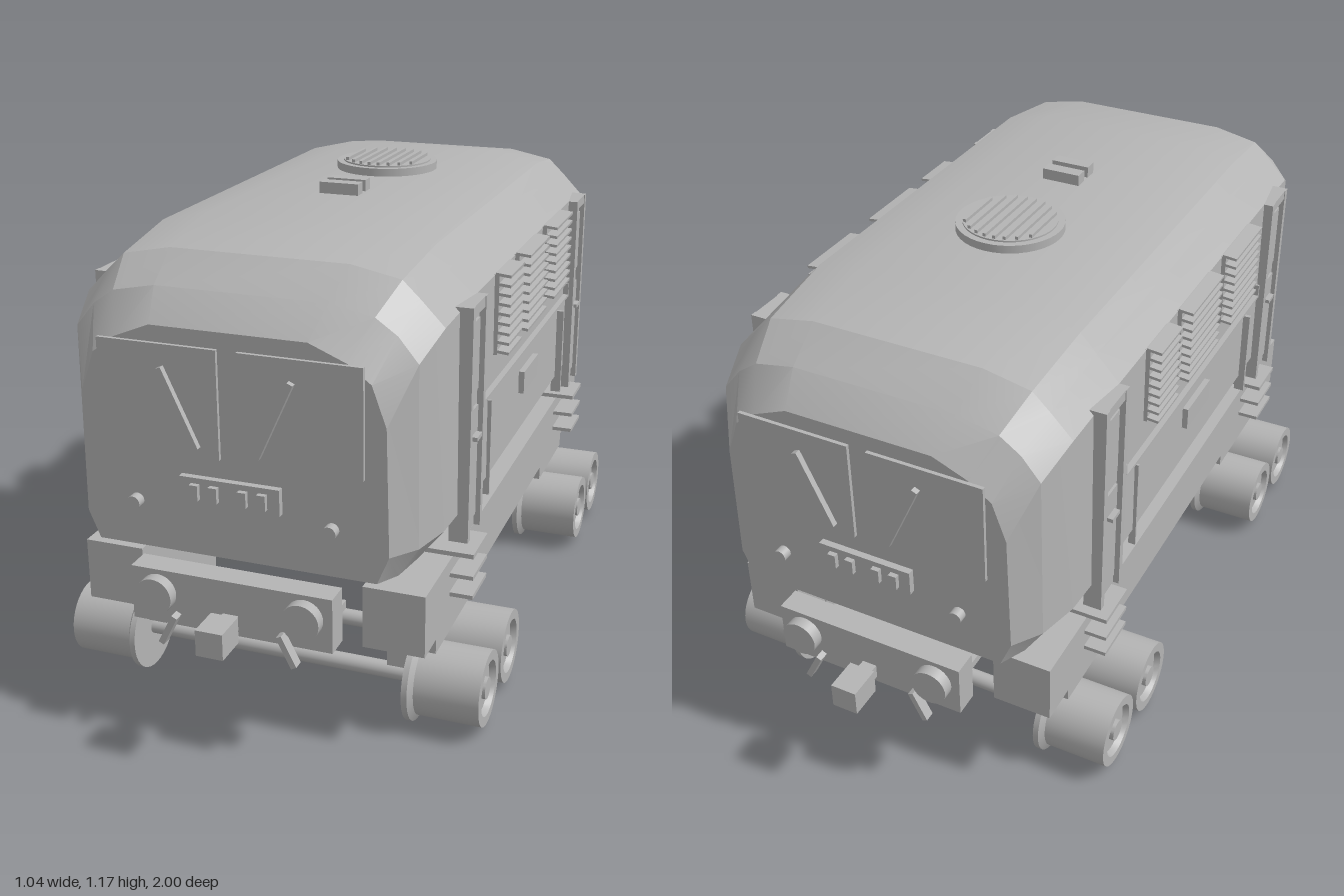
import * as THREE from 'three';
import { toCreasedNormals } from 'three/addons/utils/BufferGeometryUtils.js';

const grey = new THREE.MeshStandardMaterial({ color: 0xb4b4b4 });
grey.name = 'plain grey';

function add(parent, name, geometry) {
  const mesh = new THREE.Mesh(geometry, grey);
  mesh.name = name;
  parent.add(mesh);
  return mesh;
}

// Box given by its limits on each axis
function box(parent, name, x0, x1, y0, y1, z0, z1) {
  const mesh = add(parent, name, new THREE.BoxGeometry(x1 - x0, y1 - y0, z1 - z0));
  mesh.position.set((x0 + x1) / 2, (y0 + y1) / 2, (z0 + z1) / 2);
  return mesh;
}

// Cylinder of given radius and length along one axis
function rod(parent, name, axis, r, length, x, y, z, sides = 24) {
  const g = new THREE.CylinderGeometry(r, r, length, sides);
  if (axis === 'x') g.rotateZ(Math.PI / 2);
  if (axis === 'z') g.rotateX(Math.PI / 2);
  const mesh = add(parent, name, g);
  mesh.position.set(x, y, z);
  return mesh;
}

// Flat bar between two points in the xy plane
function bar(parent, name, x0, y0, x1, y1, z, width, depth) {
  const g = new THREE.BoxGeometry(width, Math.hypot(x1 - x0, y1 - y0), depth);
  const mesh = add(parent, name, g);
  mesh.position.set((x0 + x1) / 2, (y0 + y1) / 2, z);
  mesh.rotation.z = -Math.atan2(x1 - x0, y1 - y0);
  return mesh;
}

// Body shell lofted through half sections that shrink towards both ends
function bodyGeometry() {
  const sections = [
    [0.48, [[0.37, 0.443], [0.435, 0.525], [0.43, 1.01], [0.375, 1.07], [0.335, 1.113], [0.22, 1.14]]],
    [0.69, [[0.365, 0.448], [0.425, 0.525], [0.42, 0.99], [0.367, 1.045], [0.325, 1.085], [0.21, 1.108]]],
    [0.79, [[0.355, 0.455], [0.40, 0.525], [0.395, 0.94], [0.35, 0.995], [0.30, 1.03], [0.20, 1.05]]],
    [0.86, [[0.33, 0.465], [0.357, 0.53], [0.35, 0.82], [0.318, 0.91], [0.265, 0.95], [0.18, 0.985]]],
  ];
  const rings = [
    ...[...sections].reverse().map(([z, p]) => [-z, p]),
    ...sections,
  ].map(([z, p]) => [
    ...p.map(([x, y]) => [x, y, z]),
    ...[...p].reverse().map(([x, y]) => [-x, y, z]),
  ]);
  const n = rings[0].length;
  const index = [];
  for (let i = 0; i < rings.length - 1; i++) {
    for (let j = 0; j < n; j++) {
      const k = (j + 1) % n;
      const a = i * n + j, b = i * n + k, c = b + n, d = a + n;
      index.push(a, b, c, a, c, d);
    }
  }
  const last = (rings.length - 1) * n;
  for (let j = 1; j < n - 1; j++) {
    index.push(0, j + 1, j, last, last + j, last + j + 1);
  }
  const g = new THREE.BufferGeometry();
  g.setAttribute('position', new THREE.Float32BufferAttribute(rings.flat(2), 3));
  g.setIndex(index);
  return toCreasedNormals(g, 0.3);
}

// Front or rear end: windscreens, wipers, lamps, coupler
function makeEnd() {
  const end = new THREE.Group();
  box(end, 'grille', -0.117, 0.117, 0.594, 0.655, 0.85, 0.876);
  for (const x of [-0.079, -0.034, 0.034, 0.079]) {
    box(end, 'grilleSlot', x - 0.01, x + 0.01, 0.606, 0.642, 0.87, 0.888);
  }
  box(end, 'bufferBeam', -0.24, 0.24, 0.295, 0.425, 0.83, 0.89);
  box(end, 'couplerShaft', -0.018, 0.018, 0.31, 0.345, 0.88, 0.95);
  box(end, 'couplerHead', -0.032, 0.032, 0.298, 0.36, 0.92, 1.0);
  box(end, 'bufferBracket', -0.2, 0.2, 0.3, 0.32, 0.7, 0.84);
  for (const s of [-1, 1]) {
    const a = s * 0.023, b = s * 0.303;
    box(end, 'windscreen', Math.min(a, b), Math.max(a, b), 0.70, 0.948, 0.86, 0.869);
    bar(end, 'wiper', s * 0.15, 0.90, s * 0.07, 0.725, 0.88, 0.014, 0.014);
    rod(end, 'markerLamp', 'z', 0.016, 0.03, s * 0.23, 0.575, 0.868);
    rod(end, 'headlight', 'z', 0.044, 0.03, s * 0.175, 0.37, 0.903, 32);
    bar(end, 'brakeHose', s * 0.16, 0.258, s * 0.125, 0.328, 0.905, 0.014, 0.025);
  }
  return end;
}

// Side on +x: doors, steps, louvres and trim
function makeSide() {
  const side = new THREE.Group();
  for (const s of [-1, 1]) {
    const z = s * 0.54;
    box(side, 'doorPanel', 0.41, 0.44, 0.458, 1.01, z - 0.06, z + 0.06);
    for (const e of [-1, 1]) {
      const c = z + e * 0.051;
      box(side, 'doorPost', 0.43, 0.455, 0.458, 1.01, c - 0.009, c + 0.009);
    }
    box(side, 'doorHeader', 0.43, 0.453, 0.985, 1.01, z - 0.06, z + 0.06);
    box(side, 'doorWindow', 0.43, 0.446, 0.80, 0.965, z - 0.03, z + 0.03);
    box(side, 'doorLowerPanel', 0.43, 0.446, 0.49, 0.76, z - 0.033, z + 0.033);
    box(side, 'doorHandle', 0.44, 0.46, 0.69, 0.70, z - 0.02, z + 0.02);
    box(side, 'topStep', 0.325, 0.47, 0.421, 0.432, z - 0.06, z + 0.06);
    for (const y of [0.318, 0.367]) {
      box(side, 'step', 0.41, 0.47, y, y + 0.01, z - 0.06, z + 0.06);
    }
  }
  for (const [z0, z1] of [[0.205, 0.332], [-0.065, 0.14], [-0.348, -0.155]]) {
    box(side, 'louvreBack', 0.41, 0.441, 0.818, 1.012, z0, z1);
    for (let i = 0; i < 9; i++) {
      const y = 0.822 + i * 0.0232;
      const slat = box(side, 'louvreSlat', 0.432, 0.469, y, y + 0.007, z0, z1);
      slat.rotation.z = -0.1;
    }
  }
  box(side, 'waistRail', 0.425, 0.447, 0.742, 0.749, -0.455, 0.46);
  for (const z of [-0.452, 0.457]) box(side, 'railEnd', 0.425, 0.447, 0.742, 0.78, z - 0.003, z + 0.003);
  box(side, 'sidePlate', 0.425, 0.448, 0.63, 0.688, -0.085, 0.068);
  box(side, 'seam', 0.425, 0.443, 0.48, 0.72, 0.369, 0.375);
  box(side, 'grabRod', 0.425, 0.452, 0.48, 0.72, -0.386, -0.375);
  rod(side, 'airTank', 'z', 0.033, 0.34, 0.315, 0.218, -0.19);
  // Frame beam and bogie bearers
  box(side, 'frameBeam', 0.27, 0.415, 0.26, 0.41, -0.785, 0.785);
  for (const s of [-1, 1]) {
    const z = s * 0.52;
    box(side, 'bogieFrame', 0.285, 0.335, 0.145, 0.265, z - 0.14, z + 0.14);
    box(side, 'bogieBearer', 0.33, 0.403, 0.198, 0.265, z - 0.14, z + 0.14);
  }
  return side;
}

// Flanged wheel with a recessed face and hub, turned around the x axis
function wheelGeometry() {
  const profile = [
    [0, 0.341], [0.106, 0.341], [0.106, 0.355], [0.09, 0.365], [0.09, 0.52],
    [0.066, 0.52], [0.06, 0.505], [0.026, 0.505], [0.026, 0.518], [0, 0.518],
  ].map(([r, x]) => new THREE.Vector2(r, x));
  return toCreasedNormals(new THREE.LatheGeometry(profile, 36).rotateZ(-Math.PI / 2), 0.4);
}

export function createModel() {
  const model = new THREE.Group();
  model.name = 'railcar';
  add(model, 'bodyShell', bodyGeometry());

  // Ends and sides repeat with a half turn
  for (const [i, turn] of [0, Math.PI].entries()) {
    const end = makeEnd();
    end.name = i ? 'rearEnd' : 'frontEnd';
    const side = makeSide();
    side.name = i ? 'rightSide' : 'leftSide';
    end.rotation.y = side.rotation.y = turn;
    model.add(end, side);
  }

  // Underfloor equipment between the beams
  box(model, 'underfloorTank', -0.27, 0.27, 0.165, 0.32, -0.25, 0.25);

  // Wheelsets
  const wheel = wheelGeometry();
  for (const z of [-0.62, -0.42, 0.42, 0.62]) {
    const wheelset = new THREE.Group();
    wheelset.name = 'wheelset';
    wheelset.position.set(0, 0.108, z);
    rod(wheelset, 'axle', 'x', 0.02, 0.7, 0, 0, 0);
    add(wheelset, 'wheel', wheel);
    add(wheelset, 'wheel', wheel).rotation.y = Math.PI;
    model.add(wheelset);
  }

  // Roof fan and vents
  rod(model, 'fanBase', 'y', 0.132, 0.03, 0, 1.145, -0.16, 40);
  rod(model, 'fanDeck', 'y', 0.115, 0.03, 0, 1.149, -0.16, 40);
  for (let i = 0; i < 8; i++) {
    const x = (i - 3.5) * 0.025;
    const half = Math.sqrt(0.11 ** 2 - x ** 2);
    box(model, 'fanBar', x - 0.004, x + 0.004, 1.155, 1.172, -0.16 - half, -0.16 + half);
  }
  for (const z of [0.133, 0.188]) {
    box(model, 'roofVent', -0.05, 0.05, 1.13, 1.168, z - 0.017, z + 0.017);
  }
  return model;
}
